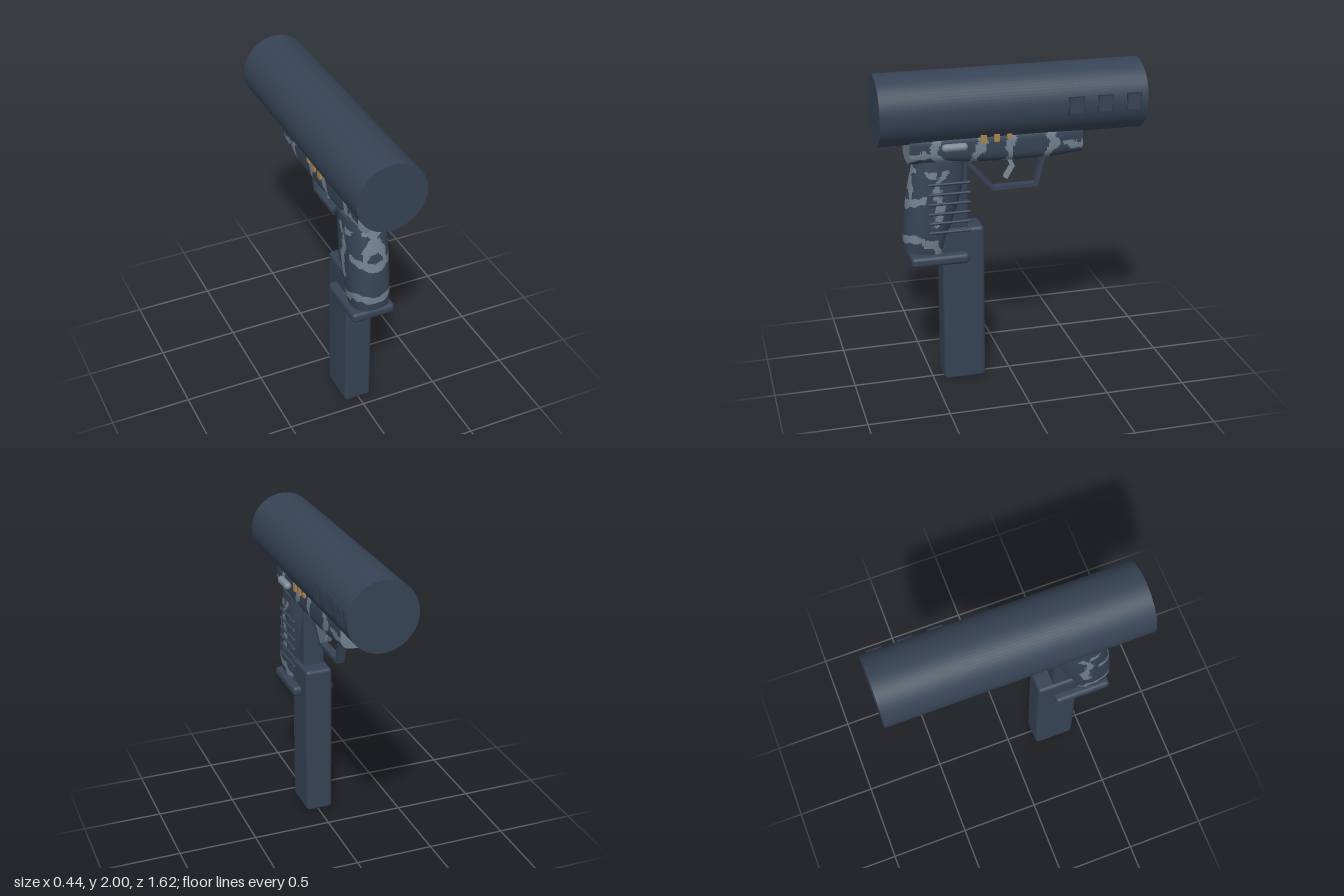
import * as THREE from 'three';
import { RoundedBoxGeometry } from 'three/addons/geometries/RoundedBoxGeometry.js';

const mat = (name, color) => Object.assign(new THREE.MeshStandardMaterial({ color }), { name });
const X = -0.007; // centre line of the body

export function createModel() {
  const root = new THREE.Group();
  const slate = mat('slate', 0x364355);
  const grey = mat('camouflageGrey', 0x71818e);
  const steel = mat('steel', 0x7a8894);
  const brass = mat('brass', 0xa8854a);
  const trim = mat('darkTrim', 0x2c3646);

  const add = (name, geometry, material, x = 0, y = 0, z = 0) => {
    const m = new THREE.Mesh(geometry, material);
    m.name = name;
    m.position.set(x, y, z);
    root.add(m);
    return m;
  };
  // Rounded box given by its limits
  const block = (name, material, [x0, x1], [y0, y1], [z0, z1], r) =>
    add(name, new RoundedBoxGeometry(x1 - x0, y1 - y0, z1 - z0, 3, r), material,
      (x0 + x1) / 2, (y0 + y1) / 2, (z0 + z1) / 2);
  // Straight bar between two (z, y) points
  const bar = (name, material, p, q, width, thick) => {
    const a = new THREE.Vector3(X, p[1], p[0]), b = new THREE.Vector3(X, q[1], q[0]);
    const m = add(name, new THREE.BoxGeometry(width, thick, a.distanceTo(b) + thick * 0.6), material);
    m.position.copy(a).add(b).multiplyScalar(0.5);
    m.lookAt(b);
  };

  // Loft of rounded sections between two (z, y) edge curves; veins are painted by face
  function camoLoft(name, edgeA, edgeB, widths, power, veins, capGrey) {
    const curve = (pts) => new THREE.SplineCurve(pts.map((p) => new THREE.Vector2(...p)));
    const A = curve(edgeA), B = curve(edgeB), W = curve(widths.map((w, i) => [i, w]));
    const N = 90, M = 64, pos = [], dark = [], light = [];
    const soft = (v) => Math.sign(v) * Math.abs(v) ** (2 / power);
    for (let i = 0; i <= N; i++) {
      const a = A.getPoint(i / N), b = B.getPoint(i / N), w = W.getPoint(i / N).y;
      for (let j = 0; j < M; j++) {
        const t = (j / M) * Math.PI * 2, k = (1 + soft(Math.cos(t))) / 2;
        pos.push(X + w * soft(Math.sin(t)), b.y + (a.y - b.y) * k, b.x + (a.x - b.x) * k);
      }
    }
    const P = (i) => new THREE.Vector3().fromArray(pos, i * 3);
    const lines = veins.map(([p, q, r]) => [new THREE.Line3(new THREE.Vector3(...p), new THREE.Vector3(...q)), r]);
    const near = new THREE.Vector3();
    const inVein = (c) => {
      c.x = Math.abs(c.x - X);
      const wobble = 1 + 0.3 * Math.sin(c.y * 61 + c.z * 37) + 0.2 * Math.sin(c.z * 83 - c.x * 50);
      return lines.some(([l, r]) => l.closestPointToPoint(c, true, near).distanceTo(c) < r * wobble);
    };
    for (let i = 0; i < N; i++) for (let j = 0; j < M; j++) {
      const k = (j + 1) % M, a = i * M + j, b = a + M, c = i * M + k, d = c + M;
      for (const tri of [[a, b, c], [c, b, d]]) {
        const mid = P(tri[0]).add(P(tri[1])).add(P(tri[2])).divideScalar(3);
        (inVein(mid) ? light : dark).push(...tri);
      }
    }
    // End caps on their own vertices
    for (const i of [0, N]) {
      const start = pos.length / 3, c = new THREE.Vector3();
      for (let j = 0; j < M; j++) {
        const p = P(i * M + j);
        c.addScaledVector(p, 1 / M);
        pos.push(p.x, p.y, p.z);
      }
      pos.push(c.x, c.y, c.z);
      for (let j = 0; j < M; j++) {
        const k = start + ((j + 1) % M), l = start + j;
        (capGrey ? light : dark).push(start + M, ...(i ? [k, l] : [l, k]));
      }
    }
    const g = new THREE.BufferGeometry();
    g.setAttribute('position', new THREE.Float32BufferAttribute(pos, 3));
    g.setIndex([...dark, ...light]);
    g.addGroup(0, dark.length, 0);
    g.addGroup(dark.length, light.length, 1);
    g.computeVertexNormals();
    add(name, g, [slate, grey]);
  }

  // Main tube with three side panels
  const tube = new THREE.CylinderGeometry(0.215, 0.215, 1.625, 72);
  tube.rotateX(Math.PI / 2);
  add('barrel', tube, slate, X, 1.785, 0.002);
  for (const z of [-0.36, -0.54, -0.72]) {
    add('panelFrame', new THREE.BoxGeometry(0.03, 0.106, 0.094), trim, 0.197, 1.787, z);
    add('sidePanel', new THREE.BoxGeometry(0.03, 0.094, 0.082), slate, 0.2, 1.787, z);
  }

  // Receiver under the tube
  camoLoft('receiver',
    [[0.63, 1.455], [0.4, 1.45], [0.1, 1.435], [-0.2, 1.432], [-0.44, 1.445]],
    [[0.63, 1.65], [0.4, 1.65], [0.1, 1.65], [-0.2, 1.65], [-0.44, 1.65]],
    [0.115, 0.128, 0.128, 0.125, 0.105], 3.2,
    [
      [[0.12, 1.5, 0.63], [0.12, 1.52, 0.5], 0.022],
      [[0.12, 1.52, 0.5], [0.12, 1.6, 0.46], 0.025],
      [[0.12, 1.52, 0.5], [0.1, 1.45, 0.38], 0.02],
      [[0.12, 1.61, 0.2], [0.12, 1.53, 0.2], 0.03],
      [[0.12, 1.53, 0.2], [0.1, 1.44, 0.27], 0.025],
      [[0.12, 1.62, 0.01], [0.12, 1.53, 0.02], 0.03],
      [[0.12, 1.53, 0.02], [0.08, 1.43, 0.04], 0.025],
      [[0.08, 1.43, 0.04], [0, 1.43, -0.12], 0.03],
      [[0.12, 1.62, -0.24], [0.11, 1.52, -0.25], 0.03],
      [[0.11, 1.52, -0.25], [0.09, 1.44, -0.2], 0.025],
      [[0.11, 1.53, -0.33], [0.1, 1.5, -0.44], 0.022],
    ], true);

  // Grip
  camoLoft('grip',
    [[0.585, 1.47], [0.62, 1.32], [0.648, 1.15], [0.662, 1.0], [0.66, 0.9]],
    [[0.28, 1.47], [0.29, 1.32], [0.335, 1.15], [0.39, 1.0], [0.42, 0.875]],
    [0.12, 0.126, 0.125, 0.123, 0.11], 2.7,
    [
      [[0, 1.4, 0.6], [0, 1.33, 0.62], 0.035],
      [[0, 1.4, 0.6], [0.12, 1.4, 0.5], 0.026],
      [[0.03, 1.36, 0.61], [0.07, 1.22, 0.63], 0.022],
      [[0.07, 1.22, 0.63], [0, 1.19, 0.645], 0.025],
      [[0.07, 1.22, 0.63], [0.12, 1.24, 0.56], 0.022],
      [[0.12, 1.3, 0.48], [0.12, 1.16, 0.44], 0.028],
      [[0.12, 1.16, 0.44], [0.12, 1.09, 0.48], 0.022],
      [[0.12, 1.3, 0.48], [0.12, 1.4, 0.42], 0.018],
      [[0, 0.97, 0.66], [0.1, 1.0, 0.64], 0.024],
      [[0.1, 1.0, 0.64], [0.12, 0.95, 0.5], 0.026],
      [[0.12, 0.95, 0.5], [0.11, 0.88, 0.46], 0.026],
    ], false);

  // Spine behind the grip, magazine and base plate
  block('gripSpine', slate, [-0.075, 0.06], [0.95, 1.47], [0.27, 0.42], 0.01);
  block('magazine', slate, [-0.095, 0.081], [0.005, 1.028], [0.172, 0.437], 0.025);
  block('basePlate', slate, [-0.145, 0.131], [0.812, 0.878], [0.275, 0.637], 0.025);

  // Ribs on the left side of the grip
  for (const y of [1.338, 1.275, 1.213, 1.152, 1.092, 1.032]) {
    const rib = new THREE.CapsuleGeometry(0.009, 0.245, 4, 10);
    rib.rotateX(Math.PI / 2);
    add('gripRib', rib, slate, 0.123, y, 0.398);
  }

  // Trigger guard and trigger
  const guard = [[0.27, 1.44], [0.1, 1.242], [-0.172, 1.245], [-0.222, 1.45]];
  const trigger = [[0.01, 1.45], [-0.022, 1.375], [0.018, 1.307]];
  for (let i = 0; i < 3; i++) bar('triggerGuard', slate, guard[i], guard[i + 1], 0.05, 0.024);
  for (let i = 0; i < 2; i++) bar('trigger', steel, trigger[i], trigger[i + 1], 0.035, 0.024);

  // Selector lever
  const lever = new THREE.CapsuleGeometry(0.024, 0.11, 6, 16);
  lever.rotateX(Math.PI / 2);
  add('selectorLever', lever, steel, 0.149, 1.57, 0.367);

  // Brass contacts on both sides
  for (const x of [-0.157, 0.143]) {
    [[0.19, 0.036, 0.05], [0.11, 0.032, 0.045], [0.033, 0.03, 0.024]].forEach(([z, d, h]) =>
      add('contact', new THREE.BoxGeometry(0.014, h, d), brass, x, 1.606 + (0.05 - h) / 4, z));
  }
  return root;
}
